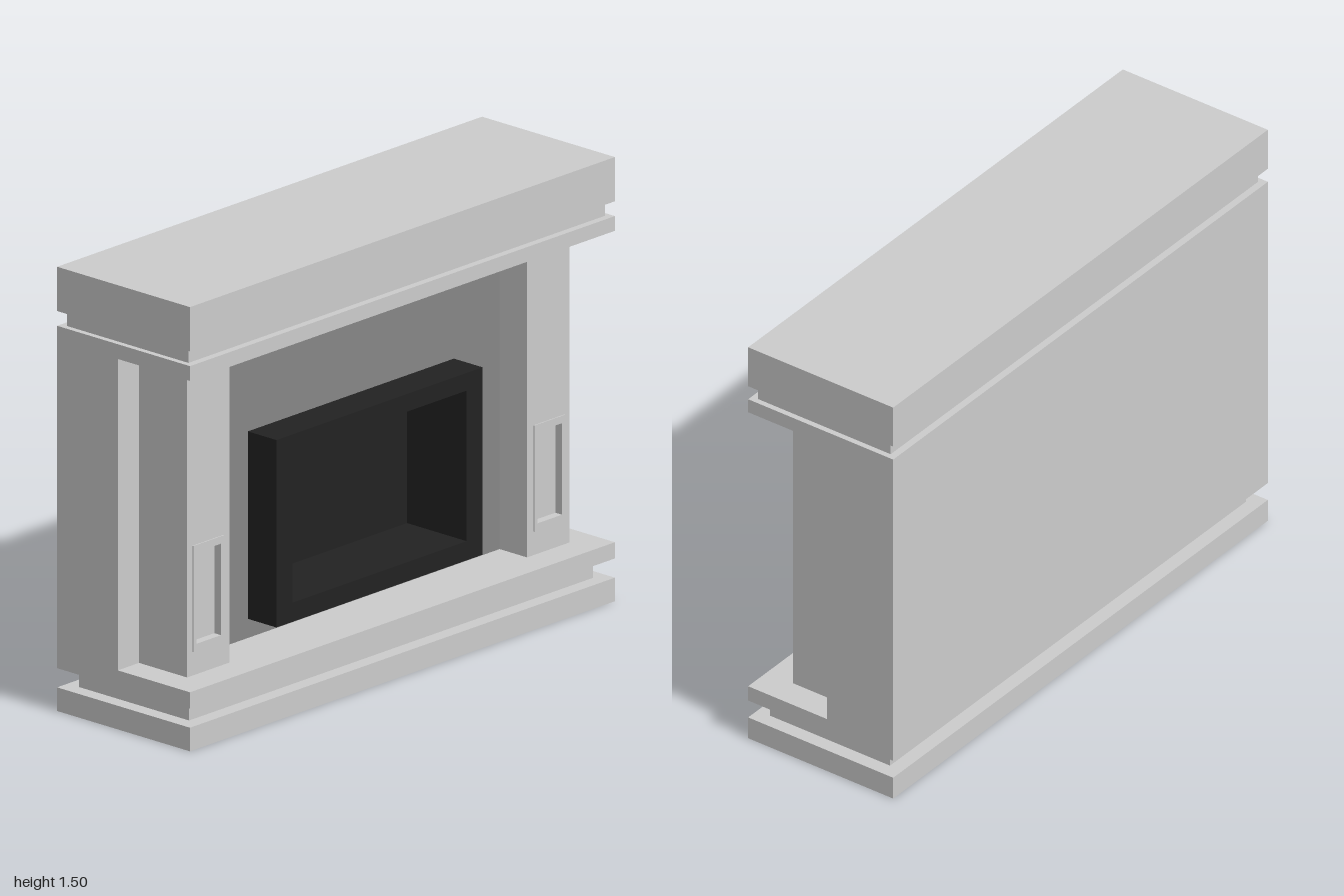
import * as THREE from 'three';

export function createModel() {
  const model = new THREE.Group();
  const stone = new THREE.MeshStandardMaterial({ color: 0xcccccc });
  const slate = new THREE.MeshStandardMaterial({ color: 0x868686 });
  const iron = new THREE.MeshStandardMaterial({ color: 0x222222 });

  const add = (name, geometry, material) => {
    const mesh = new THREE.Mesh(geometry, material);
    mesh.name = name;
    model.add(mesh);
  };

  // Solid block between two opposite corners
  const block = (name, [x0, x1], [y0, y1], [z0, z1], material = stone) => {
    const g = new THREE.BoxGeometry(x1 - x0, y1 - y0, z1 - z0);
    g.translate((x0 + x1) / 2, (y0 + y1) / 2, (z0 + z1) / 2);
    add(name, g, material);
  };

  const trace = (path, [x0, x1], [y0, y1]) =>
    path.moveTo(x0, y0).lineTo(x1, y0).lineTo(x1, y1).lineTo(x0, y1).closePath();

  // Rectangular slab pierced by a rectangular hole, extruded along z
  const pierced = (name, xs, ys, holeXs, holeYs, [z0, z1], material = stone) => {
    const shape = trace(new THREE.Shape(), xs, ys);
    shape.holes.push(trace(new THREE.Path(), holeXs, holeYs));
    const g = new THREE.ExtrudeGeometry(shape, { depth: z1 - z0, bevelEnabled: false });
    g.translate(0, 0, z0);
    add(name, g, material);
  };

  // Stepped plinth and mantel: name, half width, half depth, bottom, top
  [
    ['plinth', 1, 0.29, 0, 0.08],
    ['plinthNeck', 0.95, 0.24, 0.08, 0.145],
    ['hearth', 1, 0.29, 0.145, 0.2],
    ['cornice', 1, 0.29, 1.255, 1.305],
    ['corniceNeck', 0.98, 0.265, 1.305, 1.355],
    ['mantelShelf', 1, 0.29, 1.355, 1.505],
  ].forEach(([name, w, d, y0, y1]) => block(name, [-w, w], [y0, y1], [-d, d]));

  const bodyY = [0.2, 1.255];
  const boxX = [-0.485, 0.485], boxY = [0.265, 0.9];
  const openX = [-0.41, 0.41], openY = [0.33, 0.84];

  // Chimney wall, hollowed at the front to take the firebox
  block('backWall', [-1, 1], bodyY, [-0.29, -0.08]);
  pierced('wallFront', [-1, 1], bodyY, boxX, boxY, [-0.08, -0.025]);
  pierced('surroundPanel', [-0.7, 0.7], bodyY, boxX, boxY, [-0.025, 0.065], slate);

  // Firebox: deep open frame with a closed back
  pierced('fireboxFrame', boxX, boxY, openX, openY, [-0.07, 0.19], iron);
  block('fireboxBack', boxX, boxY, [-0.08, -0.07], iron);

  // Columns, each with a sunken framed panel near the foot
  for (const [side, s] of [['left', 1], ['right', -1]]) {
    const span = (a, b) => (s > 0 ? [a, b] : [-b, -a]);
    const recessX = span(0.745, 0.86), recessY = [0.305, 0.615];
    block(side + 'Column', span(0.7, 0.9), bodyY, [-0.025, 0.16]);
    pierced(side + 'ColumnFace', span(0.7, 0.9), bodyY, recessX, recessY, [0.16, 0.185]);
    pierced(side + 'ColumnFrame', span(0.73, 0.875), [0.28, 0.64], recessX, recessY, [0.185, 0.189]);
  }

  return model;
}
